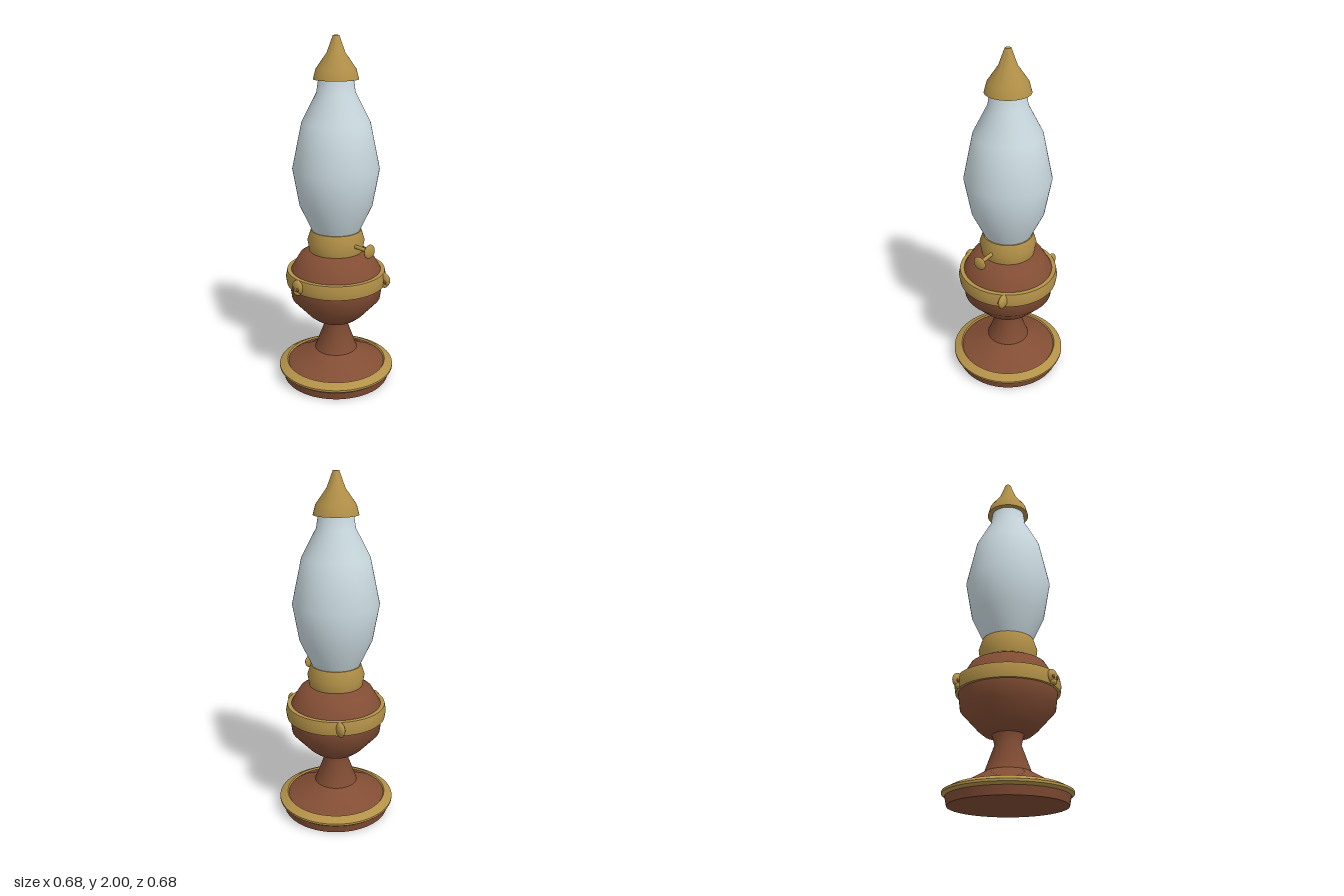
import * as THREE from 'three';
import { toCreasedNormals } from 'three/addons/utils/BufferGeometryUtils.js';

const material = (name, color) => {
  const m = new THREE.MeshStandardMaterial({ color });
  m.name = name;
  return m;
};

export function createModel() {
  const brass = material('brass', 0xb39148);
  const copper = material('copper', 0x824d34);
  const glass = material('frosted glass', 0xcbdbe1);
  const lamp = new THREE.Group();
  lamp.name = 'oilLamp';

  const add = (name, geometry, mat, parent = lamp) => {
    const mesh = new THREE.Mesh(geometry, mat);
    mesh.name = name;
    parent.add(mesh);
    return mesh;
  };
  // Turned part from [radius, height] pairs, listed bottom to top
  const turn = (name, mat, profile, crease = 0.7) => add(name, toCreasedNormals(
    new THREE.LatheGeometry(profile.map(([r, y]) => new THREE.Vector2(r, y)), 64), crease), mat);

  // Foot and stem
  turn('foot', copper, [[0, 0], [0.315, 0], [0.325, 0.048], [0.295, 0.085], [0.265, 0.095],
    [0.125, 0.175], [0.072, 0.32], [0.087, 0.38]]);
  turn('footRim', brass, [[0.31, 0.045], [0.326, 0.047], [0.342, 0.06], [0.342, 0.072],
    [0.295, 0.096], [0.288, 0.086]], 0.4);

  // Oil reservoir with its band
  turn('reservoir', copper, [[0, 0.374], [0.13, 0.376], [0.165, 0.405], [0.26, 0.51], [0.272, 0.6],
    [0.272, 0.66], [0.257, 0.69], [0.21, 0.77], [0.15, 0.8], [0, 0.8]]);
  turn('reservoirBand', brass, [[0.265, 0.6], [0.287, 0.6], [0.293, 0.64], [0.285, 0.682], [0.255, 0.682]], 0.5);

  // Burner collar, chimney and cap
  turn('burner', brass, [[0, 0.795], [0.154, 0.797], [0.165, 0.86], [0.145, 0.922], [0, 0.922]]);
  turn('chimney', glass, [[0.138, 0.92], [0.208, 1.07], [0.245, 1.28], [0.19, 1.54],
    [0.107, 1.7], [0.096, 1.775]]);
  turn('cap', brass, [[0, 1.772], [0.125, 1.77], [0.11, 1.825], [0.05, 1.91], [0.017, 2], [0, 2]]);

  // Wick knob on the left side
  const shaft = add('wickShaft', new THREE.CylinderGeometry(0.011, 0.011, 0.13, 16), brass);
  shaft.rotation.z = Math.PI / 2;
  shaft.position.set(0.205, 0.855, 0);
  const knob = add('wickKnob', new THREE.SphereGeometry(0.04, 24, 16), brass);
  knob.scale.x = 0.35;
  knob.position.set(0.271, 0.855, 0);

  // Three small face-shaped studs, all turned to the front
  for (const [x, z] of [[0, 0.292], [0.252, -0.146], [-0.252, -0.146]]) {
    const stud = new THREE.Group();
    stud.name = 'faceStud';
    stud.position.set(x, 0.64, z);
    const ball = (name, mat, r, sx, sy, sz, px, py, pz) => {
      const mesh = add(name, new THREE.SphereGeometry(r, 20, 14), mat, stud);
      mesh.scale.set(sx, sy, sz);
      mesh.position.set(px, py, pz);
    };
    ball('studHead', brass, 0.041, 1, 1, 0.48, 0, 0.003, 0);
    ball('studJaw', brass, 0.026, 1, 0.65, 0.6, 0, -0.028, 0.005);
    for (const side of [-1, 1]) ball('studEye', copper, 0.01, 1, 1, 0.7, side * 0.017, -0.004, 0.016);
    lamp.add(stud);
  }
  return lamp;
}
